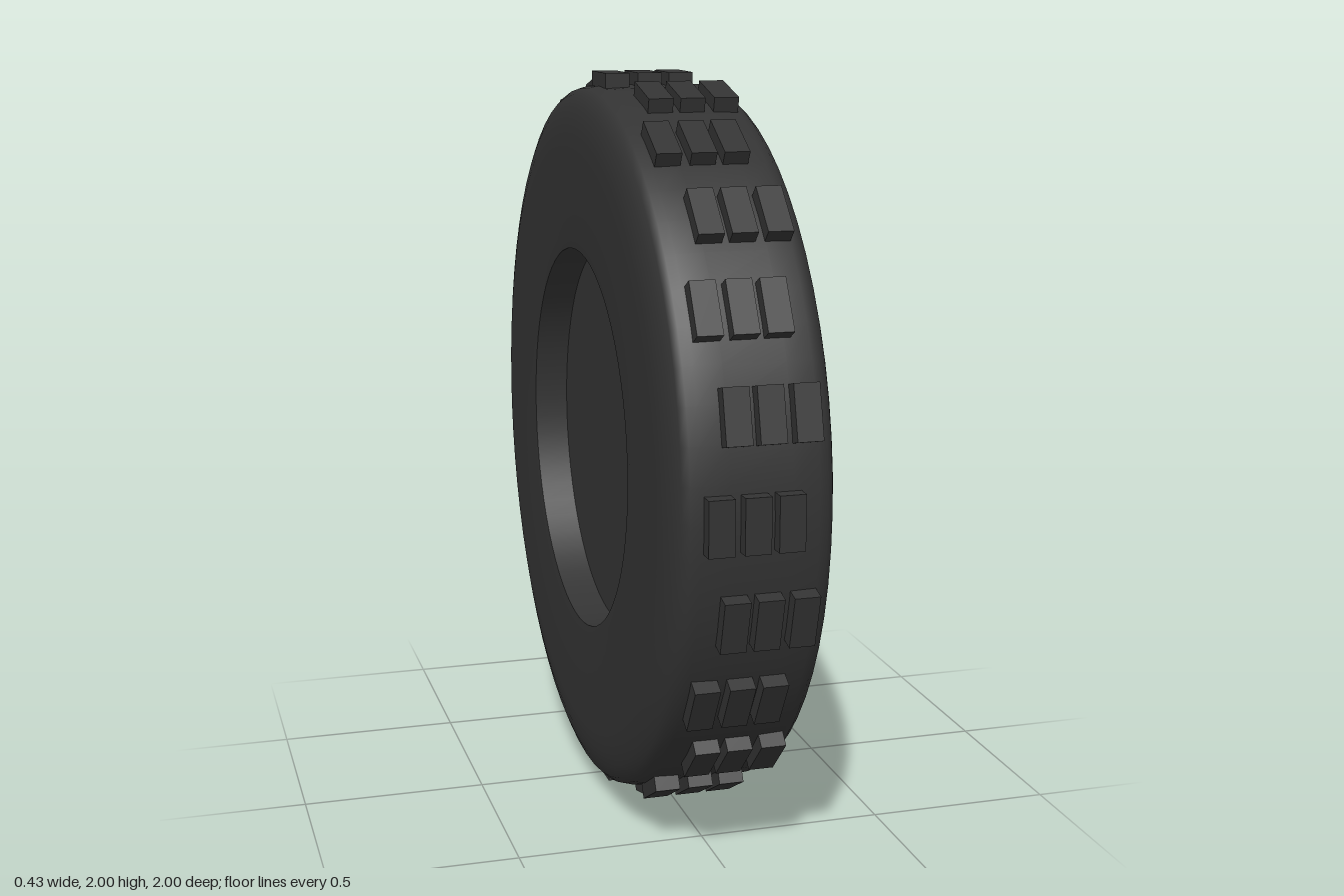
import * as THREE from 'three';

const mat = (name, color, side = THREE.FrontSide) => {
  const m = new THREE.MeshStandardMaterial({ color, side });
  m.name = name;
  return m;
};
const rubber = mat('black rubber', 0x333333);
const dark = mat('dark rim', 0x343434, THREE.DoubleSide);
const grey = mat('brake grey', 0x858585);
const silver = mat('silver', 0xc4c6c8, THREE.DoubleSide);

// Revolve [radius, x] points about the x axis
function revolve(points, segments = 64) {
  const geo = new THREE.LatheGeometry(points.map(p => new THREE.Vector2(p[0], p[1])), segments);
  return geo.rotateZ(-Math.PI / 2);
}

// Solid disc with its axis on x, between x0 and x1
function disc(rBack, rFront, x0, x1, segments = 48) {
  return new THREE.CylinderGeometry(rFront, rBack, x1 - x0, segments)
    .rotateZ(-Math.PI / 2).translate((x0 + x1) / 2, 0, 0);
}

export function createModel() {
  const wheel = new THREE.Group();
  wheel.name = 'wheel';
  wheel.position.y = 1;
  const add = (name, geo, material, parent = wheel) => {
    const mesh = new THREE.Mesh(geo, material);
    mesh.name = name;
    parent.add(mesh);
    return mesh;
  };
  // Repeat around the x axis: +y first, turning towards +z
  const around = (name, count, build) => {
    for (let i = 0; i < count; i++) {
      const arm = new THREE.Group();
      arm.name = name;
      arm.rotation.x = i * Math.PI * 2 / count;
      build(arm, i);
      wheel.add(arm);
    }
  };

  // Tyre body with rounded shoulders, and its inner bore
  add('tyre', revolve([
    [0.525, -0.21], [0.56, -0.214], [0.7, -0.217], [0.82, -0.217], [0.87, -0.213], [0.91, -0.204],
    [0.94, -0.192], [0.956, -0.175], [0.963, -0.15], [0.966, -0.08], [0.966, 0.08], [0.963, 0.145],
    [0.956, 0.168], [0.94, 0.185], [0.91, 0.197], [0.87, 0.206], [0.82, 0.209], [0.7, 0.209], [0.565, 0.207],
  ]), rubber);
  add('tyreBore', revolve([[0.525, -0.1], [0.525, -0.21]]), dark);

  // Staggered tread blocks, three per row
  around('treadRow', 24, (row, i) => {
    const flip = i % 2 ? -1 : 1;
    for (const x of [-0.111, -0.021, 0.064]) {
      add('treadBlock', new THREE.BoxGeometry(0.066, 0.06, 0.14).translate(x * flip, 0.97, 0), rubber, row);
    }
  });

  // Rim: bright dished lip, dark barrel, closed back and brake disc
  add('rimLip', revolve([[0.568, 0.209], [0.553, 0.209], [0.508, 0.165]]), silver);
  add('rimBarrel', revolve([[0.508, 0.165], [0.5, 0.1], [0.455, -0.09]]), dark);
  add('backPlate', disc(0.526, 0.526, -0.115, -0.095), dark);
  add('brakeDisc', disc(0.462, 0.462, -0.095, -0.08), grey);

  // Small round bolts on the lip
  around('lipBolt', 20, arm =>
    add('bolt', new THREE.SphereGeometry(0.013, 10, 8).translate(0.204, 0.55, 0), silver, arm));

  // Eight spokes: side profile extruded, then widened towards the rim
  const side = new THREE.Shape([
    [0.0, 0.12], [0.125, 0.12], [0.12, 0.22], [0.105, 0.34], [0.075, 0.505],
    [-0.02, 0.505], [-0.01, 0.34], [0.0, 0.22],
  ].map(p => new THREE.Vector2(p[0], p[1])).reverse());
  const spoke = new THREE.ExtrudeGeometry(side, { depth: 1, bevelEnabled: false }).translate(0, 0, -0.5);
  const pos = spoke.attributes.position;
  for (let i = 0; i < pos.count; i++) {
    pos.setZ(i, pos.getZ(i) * (0.075 + 0.075 * pos.getY(i)));
  }
  spoke.computeVertexNormals();
  around('spokeArm', 8, arm => add('spoke', spoke, dark, arm));

  // Hub: axle, flange and raised collar
  add('axle', disc(0.15, 0.15, -0.08, 0.05), dark);
  add('hubFlange', disc(0.2, 0.2, 0.0, 0.105), dark);
  add('hubCollar', disc(0.175, 0.162, 0.105, 0.135), dark);

  // Six-lobed bright cap with a nut on every lobe
  const lobes = [];
  for (let i = 0; i < 72; i++) {
    const a = i * Math.PI / 36;
    const r = 0.101 + 0.013 * Math.cos(6 * a);
    lobes.push(new THREE.Vector2(r * Math.sin(a), r * Math.cos(a)));
  }
  const cap = new THREE.ExtrudeGeometry(new THREE.Shape(lobes), { depth: 0.025, bevelEnabled: false });
  add('hubCap', cap.rotateY(Math.PI / 2).translate(0.13, 0, 0), silver);
  around('capNut', 6, arm =>
    add('nut', disc(0.018, 0.016, 0.13, 0.158, 10).translate(0, 0.1, 0), silver, arm));

  const model = new THREE.Group();
  model.name = 'offroadWheel';
  model.add(wheel);
  return model;
}
